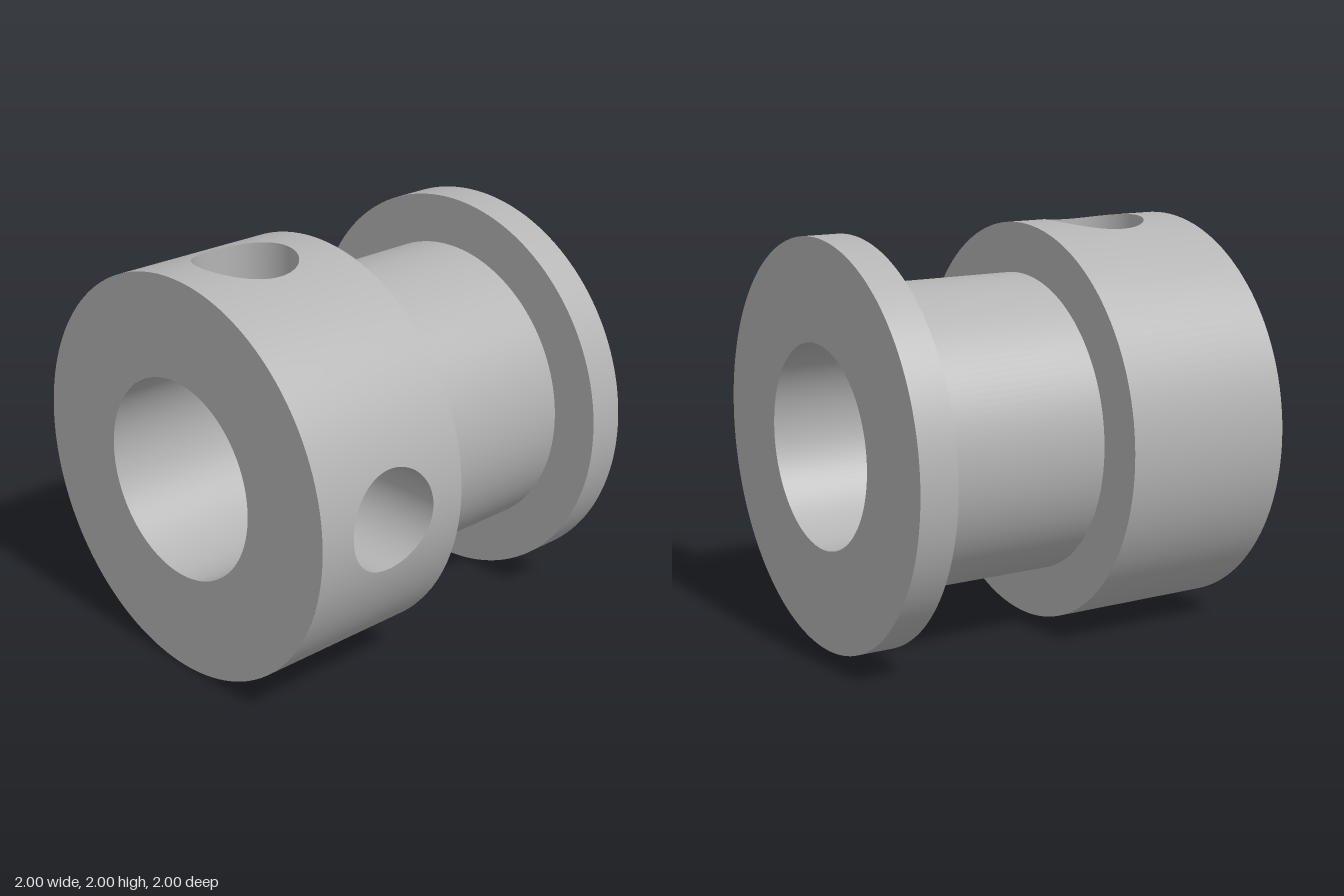
import * as THREE from 'three';

const OUTER = 1, NECK = 0.75, BORE = 0.5;
const X0 = -1, X1 = -0.13, X2 = 0.81, X3 = 1;
const HOLE_X = (X0 + X1) / 2, HOLE_R = 0.25;

// Surface turned about the x axis from profile point (r0, x0) to (r1, x1)
function turned(r0, x0, r1, x1, start = 0, length = Math.PI * 2) {
  const points = [new THREE.Vector2(r0, x0), new THREE.Vector2(r1, x1)];
  const segments = Math.round(144 * length / (Math.PI * 2));
  return new THREE.LatheGeometry(points, segments, start, length).rotateZ(-Math.PI / 2);
}

// Grid surface; fn(t, v) returns [point, normal] with t around the hole, v in 0..1
function around(rows, flip, fn) {
  const n = 96, pos = [], nor = [], index = [];
  for (let j = 0; j <= rows; j++) {
    for (let i = 0; i <= n; i++) {
      const [p, q] = fn(i / n * Math.PI * 2, j / rows);
      pos.push(...p);
      nor.push(...q);
      if (i === n || j === rows) continue;
      const a = j * (n + 1) + i, b = a + 1, c = a + n + 1, d = c + 1;
      index.push(...(flip ? [a, c, b, b, c, d] : [a, b, c, b, d, c]));
    }
  }
  const g = new THREE.BufferGeometry();
  g.setAttribute('position', new THREE.Float32BufferAttribute(pos, 3));
  g.setAttribute('normal', new THREE.Float32BufferAttribute(nor, 3));
  g.setIndex(index);
  return g;
}

// Quarter of a cylinder wall of radius R, pierced by the round hole
function piercedQuarter(R, inward) {
  const s = inward ? -1 : 1;
  return around(12, inward, (t, v) => {
    const c = Math.cos(t), d = Math.sin(t), m = Math.max(Math.abs(c), Math.abs(d));
    const x = THREE.MathUtils.lerp(HOLE_X + HOLE_R * c, HOLE_X + (X1 - X0) / 2 * c / m, v);
    const a = THREE.MathUtils.lerp(Math.asin(HOLE_R * d / R), Math.PI / 4 * d / m, v);
    return [[x, R * Math.cos(a), R * Math.sin(a)], [0, s * Math.cos(a), s * Math.sin(a)]];
  });
}

// Wall of the radial hole, from the bore out to the collar surface
function holeWall() {
  return around(1, false, (t, v) => {
    const c = Math.cos(t), d = Math.sin(t), z = HOLE_R * d, R = v ? OUTER : BORE;
    return [[HOLE_X + HOLE_R * c, Math.sqrt(R * R - z * z), z], [-c, 0, -d]];
  });
}

export function createModel() {
  const model = new THREE.Group();
  const metal = new THREE.MeshStandardMaterial({ color: 0xb4b4b4 });
  metal.name = 'grey metal';

  const group = (name) => {
    const g = new THREE.Group();
    g.name = name;
    g.position.y = 1;
    model.add(g);
    return g;
  };
  const add = (parent, name, geometry) => {
    const mesh = new THREE.Mesh(geometry, metal);
    mesh.name = name;
    parent.add(mesh);
    return mesh;
  };

  // Wide collar: plain rear-lower half plus pierced top and front quarters
  const collar = group('collar');
  add(collar, 'collarEndFace', turned(BORE, X0, OUTER, X0));
  add(collar, 'collarShoulder', turned(OUTER, X1, NECK, X1));
  add(collar, 'collarOuterHalf', turned(OUTER, X0, OUTER, X1, Math.PI / 4, Math.PI));
  add(collar, 'collarBoreHalf', turned(BORE, X1, BORE, X0, Math.PI / 4, Math.PI));
  for (const [side, angle] of [['top', 0], ['front', Math.PI / 2]]) {
    add(collar, side + 'OuterWall', piercedQuarter(OUTER, false)).rotation.x = angle;
    add(collar, side + 'BoreWall', piercedQuarter(BORE, true)).rotation.x = angle;
    add(collar, side + 'HoleWall', holeWall()).rotation.x = angle;
  }

  // Narrow neck
  const neck = group('neck');
  add(neck, 'neckOuterWall', turned(NECK, X1, NECK, X2));
  add(neck, 'neckBore', turned(BORE, X3, BORE, X1));

  // Thin end flange
  const flange = group('flange');
  add(flange, 'flangeInnerFace', turned(NECK, X2, OUTER, X2));
  add(flange, 'flangeRim', turned(OUTER, X2, OUTER, X3));
  add(flange, 'flangeEndFace', turned(OUTER, X3, BORE, X3));

  return model;
}
